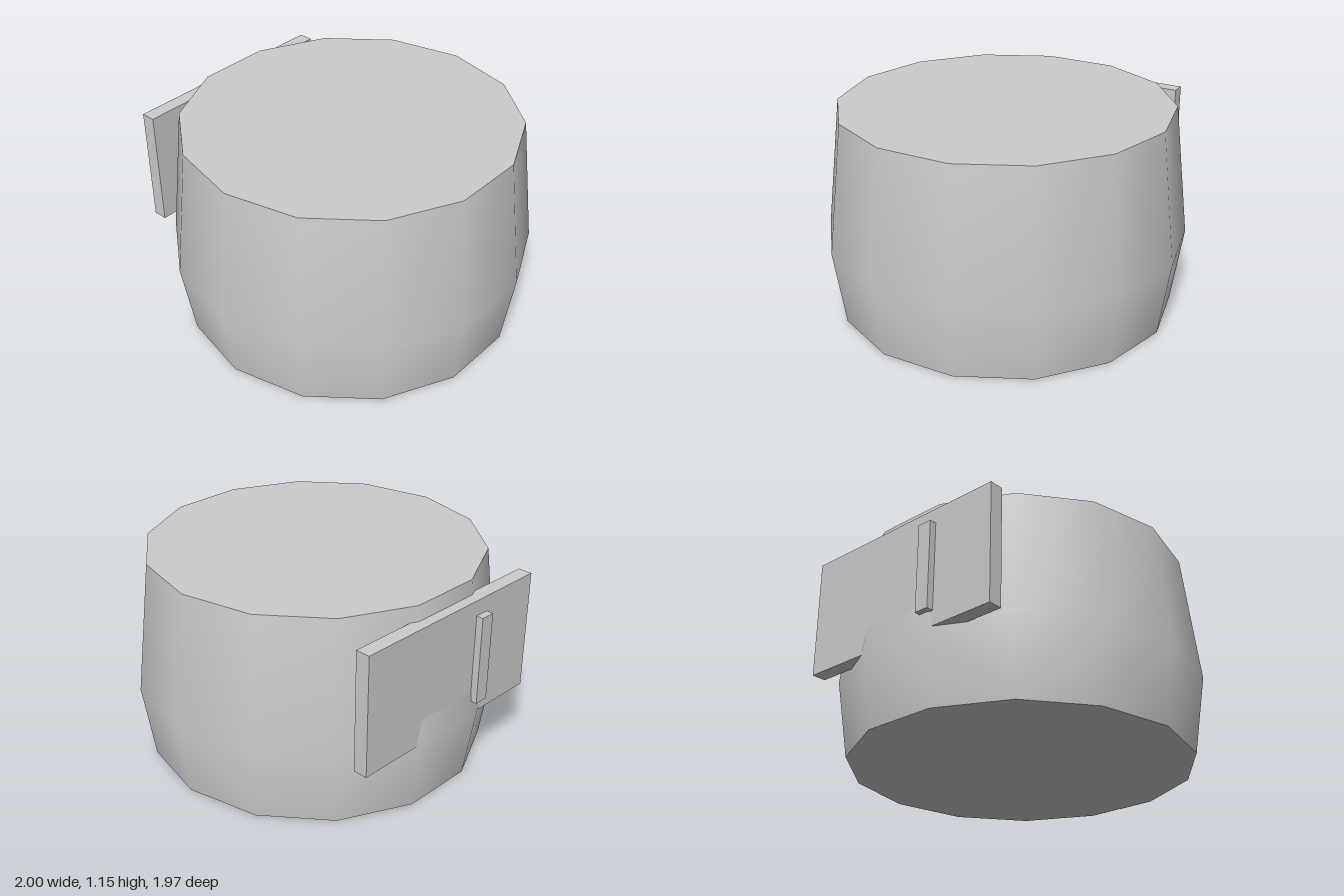
import * as THREE from 'three';

const SIDES = 14;
const BODY_Z = 0.012;

export function createModel() {
  const group = new THREE.Group();
  const grey = new THREE.MeshStandardMaterial({ color: 0xcccccc });
  grey.name = 'light grey';

  const add = (name, geometry, x, y, z) => {
    const mesh = new THREE.Mesh(geometry, grey);
    mesh.name = name;
    mesh.position.set(x, y, z);
    group.add(mesh);
  };

  // Fourteen-sided drum wall, widest below the middle, smooth shaded
  const profile = [[0.937, 0], [1, 0.42], [0.916, 1.147]].map(([r, y]) => new THREE.Vector2(r, y));
  add('drumWall', new THREE.LatheGeometry(profile, SIDES).rotateY(Math.PI / 2), 0, 0, BODY_Z);

  // Flat ends with sharp rims
  add('drumTop', new THREE.CircleGeometry(0.916, SIDES).rotateX(-Math.PI / 2), 0, 1.147, BODY_Z);
  add('drumBottom', new THREE.CircleGeometry(0.937, SIDES).rotateX(Math.PI / 2), 0, 0, BODY_Z);

  // Door panel on the back, partly sunk into the drum
  add('doorPanel', new THREE.BoxGeometry(1.246, 0.665, 0.08), 0, 0.733, -0.909);

  // Upright handle on the door
  add('doorHandle', new THREE.BoxGeometry(0.082, 0.495, 0.047), -0.212, 0.732, -0.9645);

  return group;
}
